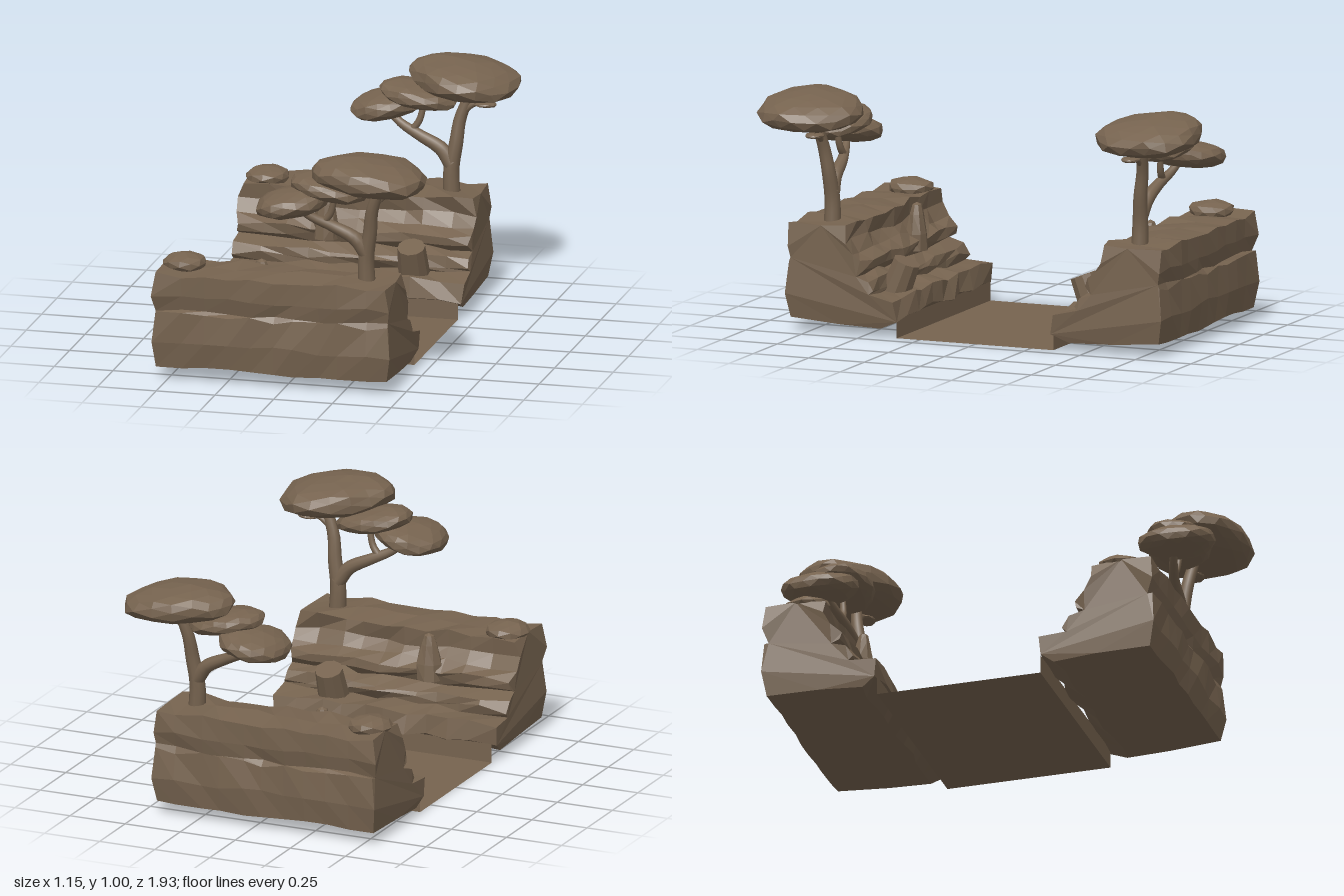
import * as THREE from 'three';

const rock = new THREE.MeshStandardMaterial({ color: 0x76634f, flatShading: true });
const bark = new THREE.MeshStandardMaterial({ color: 0x76634f });
const sheet = new THREE.MeshStandardMaterial({ color: 0x76634f, side: THREE.DoubleSide });

// repeatable noise in -1..1 from a position
function noise(x, y, z) {
  const s = Math.sin(Math.round(x * 1000) * 0.1271 + Math.round(y * 1000) * 0.3117 + Math.round(z * 1000) * 0.0747) * 43758.5453;
  return (s - Math.floor(s)) * 2 - 1;
}

// move every vertex of a geometry by a rule
function warp(geo, rule) {
  const p = geo.attributes.position, v = new THREE.Vector3();
  for (let i = 0; i < p.count; i++) {
    rule(v.fromBufferAttribute(p, i));
    p.setXYZ(i, v.x, v.y, v.z);
  }
  geo.computeVertexNormals();
  return geo;
}

// mirrored copy across z = 0, with the winding turned round
function mirrorZ(geo) {
  const g = geo.clone().scale(1, 1, -1);
  const idx = g.index ? Array.from(g.index.array) : Array.from({ length: g.attributes.position.count }, (_, i) => i);
  for (let i = 0; i < idx.length; i += 3) [idx[i], idx[i + 1]] = [idx[i + 1], idx[i]];
  g.setIndex(idx);
  return g;
}

// layered bank: stepped section (z, y) swept along x
function cliffGeometry() {
  const section = [
    [0.83, 0.062], [0.845, 0.17], [0.838, 0.29], [0.822, 0.3], [0.838, 0.37], [0.835, 0.455],
    [0.7, 0.46], [0.575, 0.46], [0.583, 0.39], [0.55, 0.345], [0.5, 0.315], [0.5, 0.285],
    [0.535, 0.255], [0.47, 0.23], [0.455, 0.2], [0.47, 0.175], [0.36, 0.165], [0.35, 0.085],
    [0.42, 0.047], [0.6, 0.05],
  ];
  const shape = new THREE.Shape(section.map(([z, y]) => new THREE.Vector2(-z, y)));
  const geo = new THREE.ExtrudeGeometry(shape, { depth: 0.98, steps: 10, bevelEnabled: false });
  geo.rotateY(Math.PI / 2).translate(-0.545, 0, 0);
  return warp(geo, (v) => {
    const { x, y, z } = v;
    const end = x < -0.54 ? -1 : x > 0.43 ? 1 : 0;
    const layer = y > 0.295 ? Math.sin((y - 0.295) / 0.165 * Math.PI) : Math.sin((y - 0.04) / 0.255 * Math.PI);
    v.x += end ? end * (0.018 * layer + 0.006 * noise(z, y, x)) : 0.014 * noise(x, 0, 0);
    v.y += (y < 0.07 ? 0.008 : 0.013) * noise(x, y, z);
    v.z += (z > 0.8 ? 0.007 : 0.012) * noise(z, x, y);
  });
}

// faceted pad: squashed ball, taper widens the +x end, tilt turns it about z
function pad([cx, cy, cz], [rx, ry, rz], { taper = 0, tilt = 0, turn = 0, rough = 0.05, detail = 2 } = {}) {
  const geo = warp(new THREE.IcosahedronGeometry(1, detail), (v) => {
    const k = 1 + rough * noise(v.x, v.y, v.z);
    v.z *= 1 + taper * v.x;
    v.y = Math.sign(v.y) * Math.pow(Math.abs(v.y), v.y < 0 ? 0.8 : 0.9);
    v.multiplyScalar(k);
  });
  return geo.scale(rx, ry, rz).rotateZ(tilt).rotateY(turn).translate(cx, cy, cz);
}

// tapering limb along a smooth curve
function limb(points, r0, r1) {
  const curve = new THREE.CatmullRomCurve3(points.map((p) => new THREE.Vector3(...p)));
  const seg = 14, sides = 10;
  const geo = new THREE.TubeGeometry(curve, seg, 1, sides);
  const p = geo.attributes.position, v = new THREE.Vector3();
  for (let i = 0; i < p.count; i++) {
    const t = Math.floor(i / (sides + 1)) / seg, c = curve.getPointAt(t);
    v.fromBufferAttribute(p, i).sub(c).multiplyScalar(r0 + (r1 - r0) * t).add(c);
    p.setXYZ(i, v.x, v.y, v.z);
  }
  return geo;
}

// channel floor with low upright edges
function floorGeometry() {
  const path = [[-0.352, 0.085], [-0.352, 0.005], [0.352, 0.005], [0.352, 0.085]];
  const pos = [], idx = [];
  path.slice(1).forEach((b, i) => {
    const a = path[i], n = i * 4;
    for (const [z, y] of [a, b]) pos.push(-0.54, y, z, 0.43, y, z);
    idx.push(n, n + 2, n + 1, n + 1, n + 2, n + 3);
  });
  const geo = new THREE.BufferGeometry();
  geo.setAttribute('position', new THREE.Float32BufferAttribute(pos, 3));
  geo.setIndex(idx);
  geo.computeVertexNormals();
  return geo;
}

export function createModel() {
  const model = new THREE.Group();
  model.name = 'canyon';

  const floor = new THREE.Mesh(floorGeometry(), sheet);
  floor.name = 'channelFloor';
  model.add(floor);

  // leaning stump and pointed stone on the ledges
  const stump = new THREE.CylinderGeometry(0.058, 0.066, 0.15, 10, 1)
    .rotateX(-0.38).translate(0.22, 0.22, 0.424);
  const spire = warp(new THREE.LatheGeometry(
    [[0, -0.1], [0.056, -0.1], [0.054, -0.03], [0.036, 0.05], [0.022, 0.09], [0, 0.1]]
      .map(([r, y]) => new THREE.Vector2(r, y)), 8), (v) => {
    const k = 1 + 0.1 * noise(v.x, v.y, v.z);
    v.x *= k;
    v.z *= k * 0.85;
  }).translate(-0.175, 0.365, 0.525);

  const parts = [
    ['cliff', cliffGeometry(), rock],
    ['stump', stump, rock],
    ['spire', spire, rock],
    ['boulder', pad([-0.463, 0.472, 0.675], [0.092, 0.04, 0.097], { rough: 0.07, taper: 0.1, detail: 1 }), rock],
    // tree limbs
    ['trunk', limb([[0.316, 0.43, 0.69], [0.314, 0.55, 0.692], [0.332, 0.66, 0.7], [0.345, 0.76, 0.715], [0.385, 0.87, 0.73]], 0.037, 0.022), bark],
    ['longBranch', limb([[0.316, 0.57, 0.692], [0.27, 0.63, 0.7], [0.17, 0.682, 0.71], [0.09, 0.72, 0.73], [0.0, 0.79, 0.76]], 0.034, 0.012), bark],
    ['forkBranch', limb([[0.14, 0.698, 0.715], [0.17, 0.74, 0.72], [0.19, 0.83, 0.73]], 0.016, 0.012), bark],
    ['sideBranch', limb([[0.358, 0.79, 0.718], [0.4, 0.825, 0.715], [0.47, 0.85, 0.71]], 0.014, 0.009), bark],
    // leaf pads
    ['largeCanopy', pad([0.345, 0.925, 0.767], [0.24, 0.076, 0.212], { taper: 0.25, tilt: -0.1, turn: 0.25, rough: 0.04 }), rock],
    ['middleCanopy', pad([0.165, 0.853, 0.725], [0.165, 0.05, 0.135], { tilt: -0.18, rough: 0.04 }), rock],
    ['outerCanopy', pad([0.02, 0.79, 0.77], [0.152, 0.058, 0.163], { tilt: 0.16, taper: -0.1, rough: 0.04 }), rock],
    ['leafTuft', pad([0.455, 0.832, 0.71], [0.048, 0.012, 0.04], { detail: 1 }), rock],
  ];

  // the same bank and tree on both sides
  for (const side of ['front', 'back']) {
    const bank = new THREE.Group();
    bank.name = side + 'Bank';
    for (const [name, geo, mat] of parts) {
      const mesh = new THREE.Mesh(side === 'front' ? geo : mirrorZ(geo), mat);
      mesh.name = name;
      bank.add(mesh);
    }
    model.add(bank);
  }
  return model;
}
